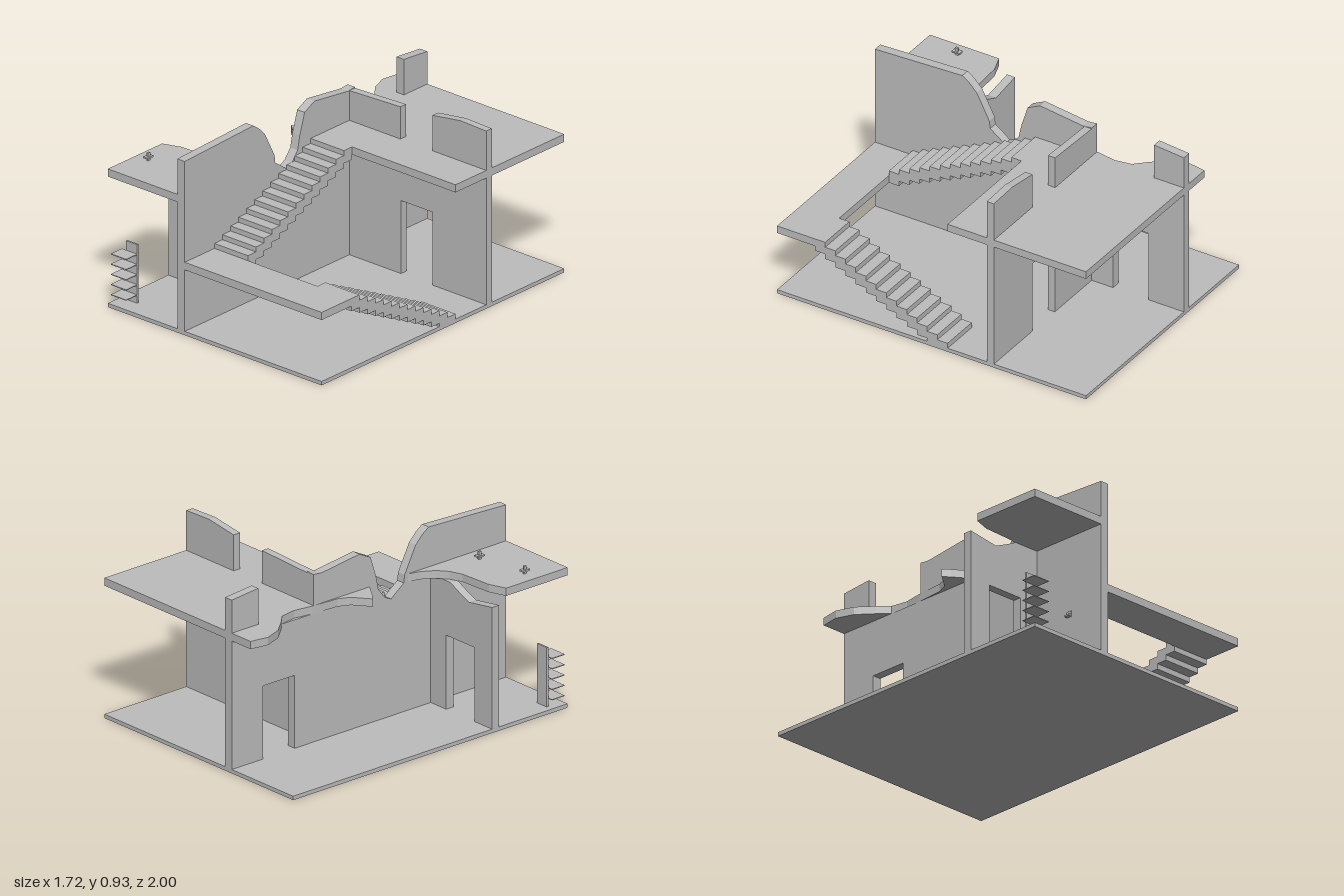
import * as THREE from 'three';

export function createModel() {
  const root = new THREE.Group();
  root.name = 'ruinedHouse';
  const house = new THREE.Group();
  house.name = 'house';
  house.rotation.y = 0.2305;
  root.add(house);

  const concrete = new THREE.MeshStandardMaterial({ color: 0xbdbdbd });
  concrete.name = 'concrete grey';

  const U = 0.678, V = 0.8675;          // half width and half depth of the plot
  const WL = -0.237, WR = -0.19;        // faces of the long dividing wall
  const FLOOR = 0.02, SLAB = 0.68, UPPER = 0.72, LANDING = 0.38;

  const add = (name, geometry, parent = house) => {
    const mesh = new THREE.Mesh(geometry, concrete);
    mesh.name = name;
    parent.add(mesh);
    return mesh;
  };
  // box given by its limits
  const box = (name, x0, x1, y0, y1, z0, z1, parent) => add(name,
    new THREE.BoxGeometry(x1 - x0, y1 - y0, z1 - z0)
      .translate((x0 + x1) / 2, (y0 + y1) / 2, (z0 + z1) / 2), parent);
  const extrude = (points, depth) => new THREE.ExtrudeGeometry(
    new THREE.Shape(points.map(p => new THREE.Vector2(...p))),
    { depth, bevelEnabled: false });
  // wall across the house: outline in (x, y)
  const crossWall = (name, points, z0, z1) =>
    add(name, extrude(points, z1 - z0).translate(0, 0, z0));
  // wall along the house: outline in (z, y)
  const longWall = (name, points, x0, x1) =>
    add(name, extrude(points, x1 - x0).rotateY(-Math.PI / 2).translate(x1, 0, 0));
  // floor slab: outline in (x, z)
  const slab = (name, points, y0, y1) =>
    add(name, extrude(points, y1 - y0).rotateX(Math.PI / 2).translate(0, y1, 0));

  // ground plate
  box('groundPlate', -U, U, 0, FLOOR, -V, V);

  // dividing wall with a rear doorway and a broken top
  longWall('dividingWall', [
    [-V, FLOOR], [-0.67, FLOOR], [-0.67, 0.395], [-0.47, 0.395], [-0.47, FLOOR], [V, FLOOR],
    [V, 0.905], [0.377, 0.925], [0.34, 0.9], [0.295, 0.855], [0.225, 0.72], [0.22, 0.68],
    [0.165, 0.64], [0.14, 0.62], [0.1, 0.64], [0.06, 0.69], [0.045, 0.76], [0.01, 0.87],
    [-0.06, 0.905], [-0.14, 0.895], [-0.3, 0.875], [-0.35, 0.88],
    [-0.35, SLAB], [-0.7, SLAB], [-0.7, 0.905], [-V, 0.89],
  ], WL, WR);

  // middle wall, open above its doorway on the upper floor
  crossWall('middleWall', [
    [WR, FLOOR], [0.137, FLOOR], [0.137, 0.4], [0.337, 0.4], [0.337, FLOOR], [U, FLOOR],
    [U, 0.925], [0.515, 0.93], [0.337, 0.905], [0.337, SLAB], [0.134, SLAB],
    [0.134, 0.888], [WR, 0.875],
  ], -0.35, -0.31);

  // front room wall with doorway and crumbled top
  crossWall('frontRoomWall', [
    [-U, FLOOR], [-0.553, FLOOR], [-0.553, 0.4], [-0.348, 0.4], [-0.348, FLOOR], [WL, FLOOR],
    [WL, SLAB], [-0.38, SLAB], [-0.43, 0.655], [-0.51, 0.62], [-U, 0.645],
  ], 0.39, 0.435);

  // upper floor at the rear, torn along its left edge
  slab('rearUpperFloor', [
    [U, -V], [U, -0.09], [WR, -0.09], [WR, 0.03], [-0.255, -0.008], [-0.326, -0.056],
    [-0.36, -0.084], [-0.275, -0.15], [-0.248, -0.21], [-0.237, -0.358], [-0.22, -0.46],
    [-0.235, -0.547], [-0.29, -0.602], [-0.355, -0.679], [-0.388, -0.77], [-0.372, -V],
  ], SLAB, UPPER);

  // remaining upper floor over the front room
  slab('frontUpperFloor', [
    [-U, V], [-U, 0.479], [-0.588, 0.448], [-0.411, 0.438], [-0.345, 0.415],
    [-0.293, 0.373], [-0.255, 0.31], [-0.234, 0.235], [WR, 0.235], [WR, V],
  ], SLAB, UPPER);

  // landing and two flights of overlapping block steps
  box('landing', WR, U, 0.34, LANDING, 0.655, V);
  const flight = (name, x0, x1, firstTop, rise) => {
    const group = new THREE.Group();
    group.name = name;
    house.add(group);
    const n = 13, start = 0.655, tread = 0.745 / n;
    for (let i = 0; i < n; i++) {
      const top = firstTop + rise * i, z1 = start - tread * i;
      box('step', x0, x1, Math.max(FLOOR, top - 0.066), top, z1 - tread, z1, group);
    }
  };
  flight('upperFlight', WR, 0.022, LANDING + 0.34 / 13, 0.34 / 13);
  flight('lowerFlight', 0.463, U, LANDING, -0.36 / 13);

  // small shelf rack by the front left corner
  const rack = new THREE.Group();
  rack.name = 'shelfRack';
  house.add(rack);
  box('rackPanel', -0.643, -0.573, FLOOR, 0.325, 0.766, 0.776, rack);
  for (let i = 0; i < 5; i++) {
    const y = 0.06 + i * 0.053;
    box('rackShelf', -0.67, -0.573, y, y + 0.004, 0.776, 0.855, rack);
  }

  // bent fittings on the front upper floor
  for (const [x, z] of [[-0.6, 0.665], [-0.323, 0.623]]) {
    const fitting = new THREE.Group();
    fitting.name = 'floorFitting';
    fitting.position.set(x, UPPER, z);
    house.add(fitting);
    box('fittingPost', -0.005, 0.005, 0, 0.04, -0.008, 0.008, fitting);
    box('fittingBar', -0.014, 0.014, 0.014, 0.022, -0.022, 0.022, fitting);
  }

  // small wall bracket in the front room
  box('wallBracket', WL - 0.02, WL, 0.262, 0.27, 0.64, 0.67);
  box('wallBracketPlate', WL - 0.006, WL, 0.262, 0.29, 0.64, 0.67);

  return root;
}
